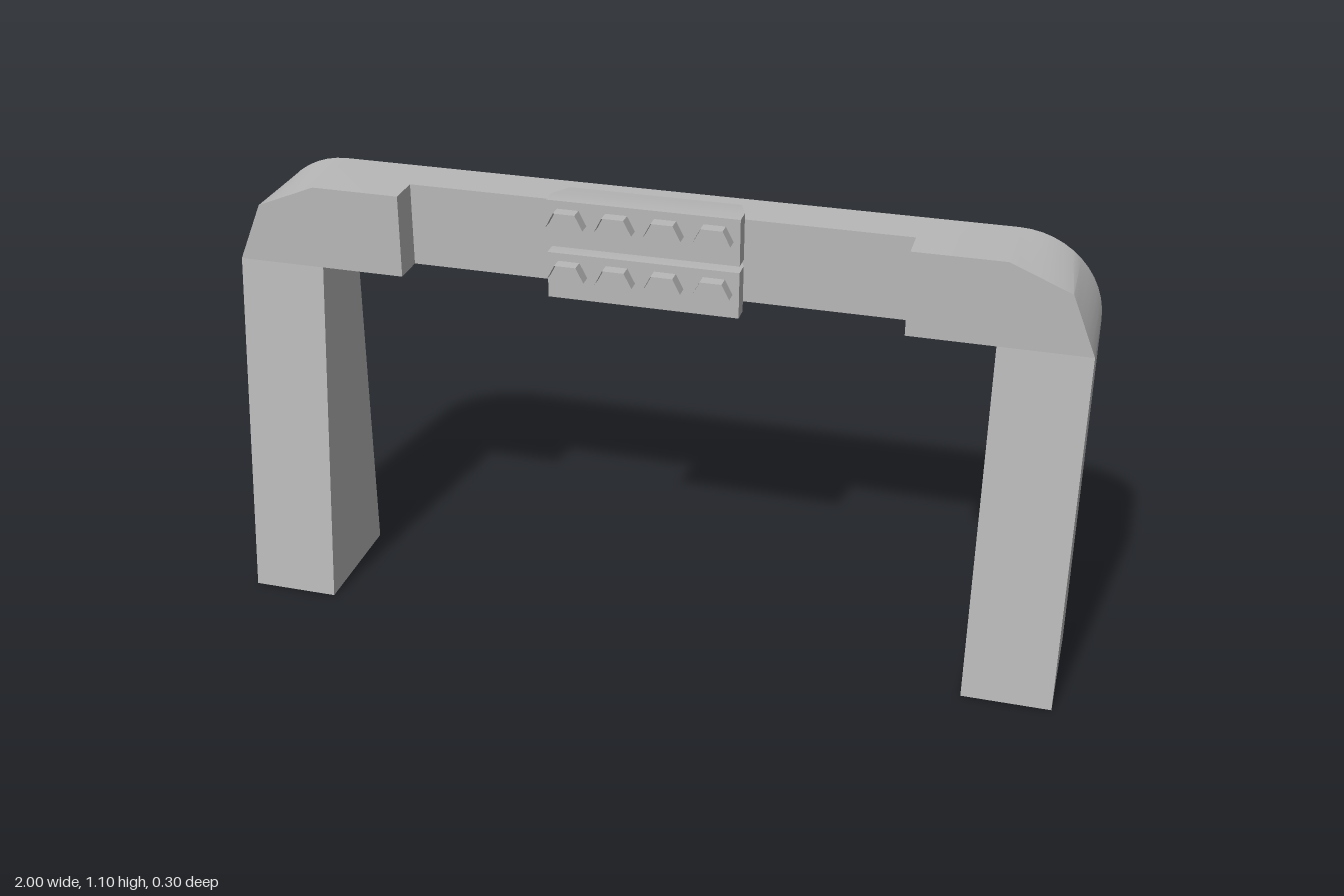
import * as THREE from 'three';
import { toCreasedNormals } from 'three/addons/utils/BufferGeometryUtils.js';

const BACK = -0.15, BEAM_Y = 0.86, TOP = 1.06, R = 0.2;

// Apply a rule to every vertex of a geometry
function moveVertices(geometry, rule) {
  const p = geometry.attributes.position;
  const v = new THREE.Vector3();
  for (let i = 0; i < p.count; i++) {
    rule(v.fromBufferAttribute(p, i));
    p.setXYZ(i, v.x, v.y, v.z);
  }
  return toCreasedNormals(geometry, 0.55);
}

// Leg with a front face that leans outward toward the floor
function legGeometry(side) {
  const g = new THREE.BoxGeometry(0.21, BEAM_Y, 0.2);
  g.translate(side * 0.895, BEAM_Y / 2, BACK + 0.1);
  return moveVertices(g, v => {
    if (v.z > 0) v.z = 0.05 + 0.1 * (1 - v.y / BEAM_Y);
  });
}

// Shoulder: round at the back, with a two-facet edge at the front
function shoulderGeometry(side) {
  const pts = [new THREE.Vector2(side * 0.59, BEAM_Y)];
  pts.push(new THREE.Vector2(side * 0.79, BEAM_Y));
  const steps = 12;
  for (let i = 0; i <= steps; i++) {
    const a = (i / steps) * Math.PI / 2;
    pts.push(new THREE.Vector2(side * (0.8 + R * Math.cos(a)), BEAM_Y + R * Math.sin(a)));
  }
  pts.push(new THREE.Vector2(side * 0.59, TOP));
  const g = new THREE.ExtrudeGeometry(new THREE.Shape(pts), { depth: 0.2, bevelEnabled: false });
  g.translate(0, 0, BACK);
  return moveVertices(g, v => {
    const dx = Math.abs(v.x) - 0.8, dy = v.y - BEAM_Y;
    if (v.z < 0 || dx < 0.001 || dy < 0.001) return;
    const half = Math.PI / 8;
    const a = Math.atan2(dy, dx);
    const r = R * Math.cos(half) / Math.cos((a % (2 * half)) - half);
    v.x = side * (0.8 + r * Math.cos(a));
    v.y = BEAM_Y + r * Math.sin(a);
  });
}

// Block whose ends and top taper toward the back
function blockGeometry(y0) {
  const g = new THREE.BoxGeometry(0.444, 0.11, 0.1, 1, 1, 2);
  g.translate(0, y0 + 0.055, 0);
  return moveVertices(g, v => {
    if (v.z > 0.01) v.z = 0.075;
    else if (v.z > -0.01) v.z = 0.035;
    else {
      v.z = -0.03;
      v.x *= 0.9;
      if (v.y > y0 + 0.055) v.y -= 0.008;
    }
  });
}

// Open arch of three thin panels
function hookGeometry() {
  const profile = [[-0.043, 0], [-0.025, 0.035], [0.025, 0.035], [0.043, 0]];
  const pos = [];
  for (let i = 0; i < 3; i++) {
    const [ax, ay] = profile[i], [bx, by] = profile[i + 1];
    pos.push(ax, ay, 0, ax, ay, 0.03, bx, by, 0.03);
    pos.push(ax, ay, 0, bx, by, 0.03, bx, by, 0);
  }
  const g = new THREE.BufferGeometry();
  g.setAttribute('position', new THREE.Float32BufferAttribute(pos, 3));
  g.computeVertexNormals();
  return g;
}

export function createModel() {
  const model = new THREE.Group();
  model.name = 'archFrame';
  const grey = new THREE.MeshStandardMaterial({ color: 0xb8b8b8, side: THREE.DoubleSide });
  grey.name = 'grey';

  function add(parent, name, geometry) {
    const mesh = new THREE.Mesh(geometry, grey);
    mesh.name = name;
    parent.add(mesh);
    return mesh;
  }

  // Frame
  const beam = add(model, 'crossBeam', new THREE.BoxGeometry(1.18, TOP - BEAM_Y, 0.12));
  beam.position.set(0, (TOP + BEAM_Y) / 2, BACK + 0.06);
  for (const side of [1, -1]) {
    const label = side > 0 ? 'left' : 'right';
    add(model, label + 'Leg', legGeometry(side));
    add(model, label + 'Shoulder', shoulderGeometry(side));
  }

  // Two stacked blocks, each with a row of four hooks
  const hook = hookGeometry();
  for (const [name, y0] of [['upperBlock', 0.992], ['lowerBlock', 0.866]]) {
    const group = new THREE.Group();
    group.name = name;
    add(group, name + 'Body', blockGeometry(y0));
    for (let i = 0; i < 4; i++) {
      const m = add(group, 'hook', hook);
      m.position.set(-0.172 + i * 0.112, y0 + 0.056, 0.075);
    }
    model.add(group);
  }
  return model;
}
